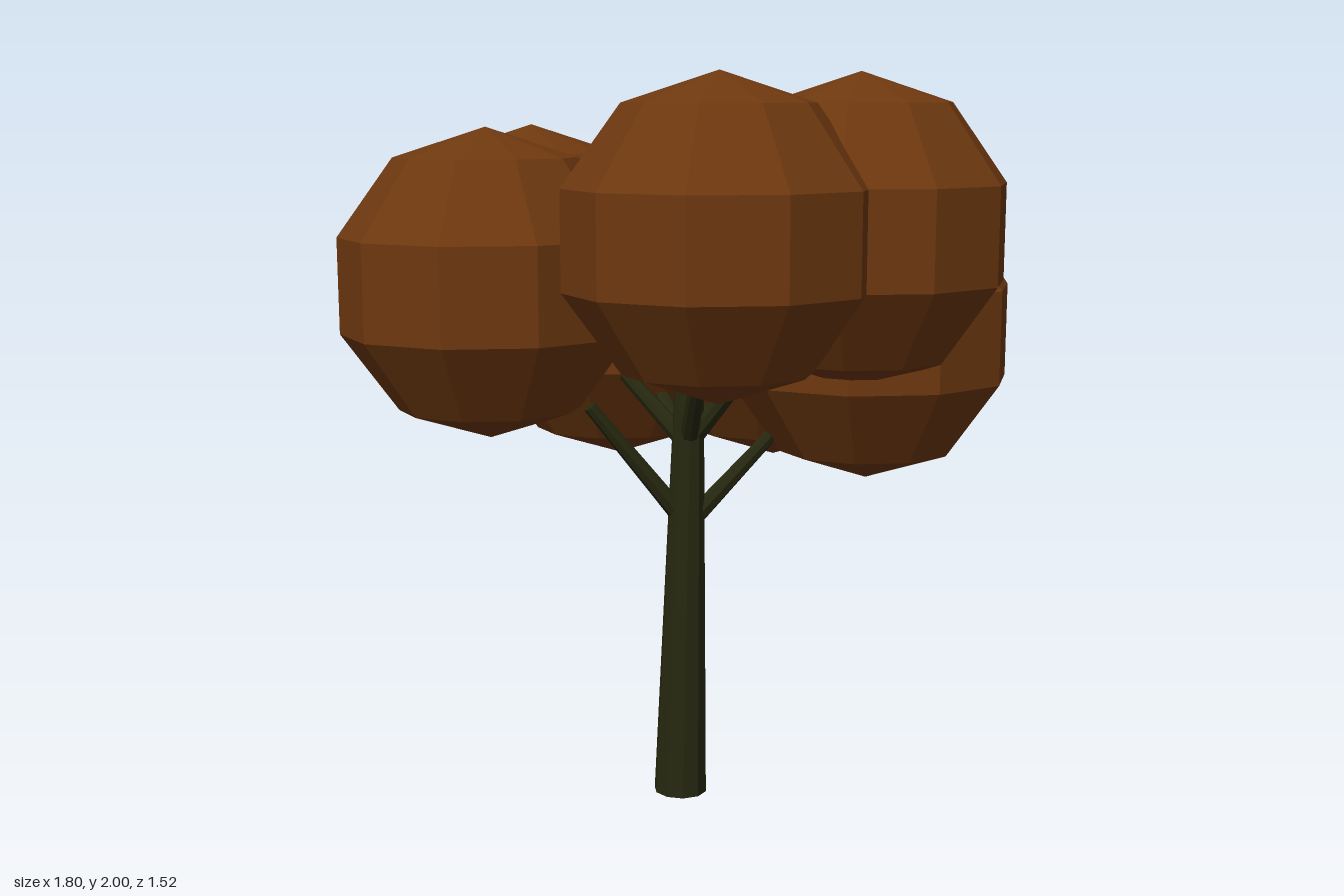
import * as THREE from 'three';

export function createModel() {
  const tree = new THREE.Group();
  tree.name = 'tree';

  const foliage = new THREE.MeshStandardMaterial({ name: 'russet leaves', color: 0x6e380f, flatShading: true });
  const bark = new THREE.MeshStandardMaterial({ name: 'dark bark', color: 0x26280f, flatShading: true });

  // Tapered limb between two points
  function limb(name, from, to, r0, r1, sides) {
    const dir = to.clone().sub(from);
    const mesh = new THREE.Mesh(new THREE.CylinderGeometry(r1, r0, dir.length(), sides), bark);
    mesh.name = name;
    mesh.position.copy(from).addScaledVector(dir, 0.5);
    mesh.quaternion.setFromUnitVectors(new THREE.Vector3(0, 1, 0), dir.normalize());
    tree.add(mesh);
  }

  // Slightly leaning trunk
  const base = new THREE.Vector3(-0.006, 0.005, -0.004);
  const top = new THREE.Vector3(0.02, 1.22, -0.005);
  limb('trunk', base, top, 0.074, 0.039, 10);

  // Leaf clumps: centre x, y, z and the trunk height where the branch starts
  const clumps = [
    ['front', 0.04, 1.593, 0.433, 1.0],
    ['frontLeft', 0.43, 1.593, 0.228, 1.0],
    ['left', 0.51, 1.307, 0.0, 0.77],
    ['backLeft', 0.31, 1.307, -0.362, 1.0],
    ['back', -0.14, 1.307, -0.437, 1.0],
    ['backRight', -0.39, 1.453, -0.308, 1.0],
    ['right', -0.52, 1.453, 0.065, 0.78],
  ];
  const ball = new THREE.SphereGeometry(1, 10, 5);
  for (const [side, x, y, z, startY] of clumps) {
    const clump = new THREE.Mesh(ball, foliage);
    clump.name = side + 'Leaves';
    clump.position.set(x, y, z);
    clump.scale.set(0.407, 0.407, 0.36);
    tree.add(clump);

    // Branch reaching halfway to the clump centre
    const start = base.clone().lerp(top, startY / 1.22);
    const end = start.clone().lerp(clump.position, 0.5);
    limb(side + 'Branch', start, end, 0.027, 0.018, 8);
  }
  return tree;
}
